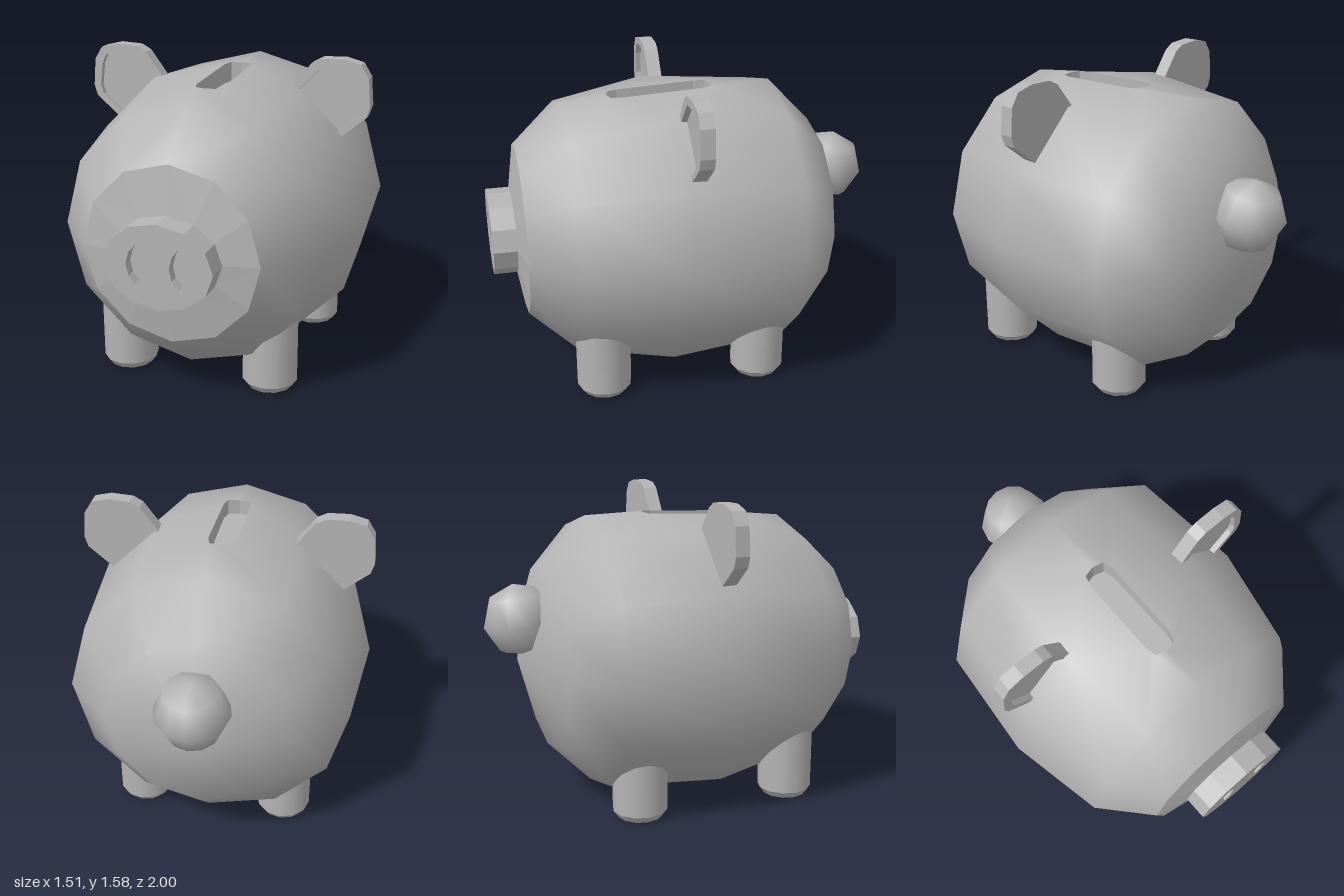
import * as THREE from 'three';

const CY = 0.77; // height of the body axis
const SIDES = 12;

export function createModel() {
  const pig = new THREE.Group();
  pig.name = 'piggyBank';
  const grey = new THREE.MeshStandardMaterial({ color: 0xb4b4b4 });
  grey.name = 'grey';

  const add = (name, geometry, parent = pig) => {
    const mesh = new THREE.Mesh(geometry, grey);
    mesh.name = name;
    parent.add(mesh);
    return mesh;
  };
  const build = (points, index, flat) => {
    let g = new THREE.BufferGeometry();
    g.setAttribute('position', new THREE.Float32BufferAttribute(points.flat(), 3));
    g.setIndex(index);
    if (flat) g = g.toNonIndexed();
    g.computeVertexNormals();
    return g;
  };
  const ringPoint = (rx, ry, z, j) => {
    const a = (j / SIDES) * Math.PI * 2;
    return [rx * Math.cos(a), CY + ry * Math.sin(a), z];
  };
  const shapeOf = (pts) => new THREE.Shape(pts.map(([x, y]) => new THREE.Vector2(x, y)));
  const extrude = (shape, z0, z1) =>
    new THREE.ExtrudeGeometry(shape, { depth: z1 - z0, bevelEnabled: false }).translate(0, 0, z0);

  // Body: rings [z, radius] along z, with an opening for the slot on top
  const rings = [[0.845, 0.44], [0.61, 0.655], [0.12, 0.755], [-0.47, 0.705], [-0.697, 0.47]];
  const at = (i, j) => i * SIDES + (j % SIDES);
  const points = [], index = [];
  rings.forEach(([z, r]) => {
    for (let j = 0; j < SIDES; j++) points.push(ringPoint(r, r, z, j));
  });
  for (let i = 0; i < rings.length - 1; i++) {
    for (let j = 0; j < SIDES; j++) {
      if ((i === 1 || i === 2) && (j === 2 || j === 3)) continue;
      index.push(at(i, j), at(i + 1, j), at(i, j + 1), at(i, j + 1), at(i + 1, j), at(i + 1, j + 1));
    }
  }
  const pole = points.length;
  points.push([0, CY, -0.84]);
  for (let j = 0; j < SIDES; j++) index.push(at(4, j), pole, at(4, j + 1));

  // Slot rim, stitched to the surrounding body vertices
  const half = [[0, 0.375], [0.055, 0.362], [0.07, 0.31], [0.07, -0.09], [0.055, -0.147], [0, -0.16]];
  const outline = [...half, ...half.slice(1, -1).reverse().map(([x, z]) => [-x, z])];
  const rim = outline.map(([x, z]) => [x, 1.4675 - 0.047 * z, z]);
  const outer = [at(1, 3), at(1, 2), at(2, 2), at(2, 2), at(3, 2), at(3, 3), at(3, 4), at(2, 4), at(2, 4), at(1, 4)];
  const first = points.length;
  points.push(...rim);
  const n = rim.length;
  for (let k = 0; k < n; k++) {
    const m = (k + 1) % n;
    if (outer[k] !== outer[m]) index.push(outer[k], outer[m], first + k);
    index.push(outer[m], first + m, first + k);
  }
  add('body', build(points, index));

  // Slot walls and floor
  const slotPoints = [...rim, ...rim.map(([x, , z]) => [x, 1.37, z])];
  const slotIndex = [];
  for (let k = 0; k < n; k++) {
    const m = (k + 1) % n;
    slotIndex.push(k, m, n + m, k, n + m, n + k);
    if (k > 0 && k < n - 1) slotIndex.push(n, n + k, n + k + 1);
  }
  add('coinSlot', build(slotPoints, slotIndex, true));

  // Faceted muzzle between body and snout
  const muzzle = [], muzzleIndex = [];
  for (let j = 0; j < SIDES; j++) {
    muzzle.push(ringPoint(0.44, 0.44, 0.845, j), ringPoint(0.27, 0.208, 0.882, j));
    const a = j * 2, b = ((j + 1) % SIDES) * 2;
    muzzleIndex.push(a, b, a + 1, b, b + 1, a + 1);
  }
  add('muzzle', build(muzzle, muzzleIndex, true));

  // Snout with two recessed almond nostrils
  const snout = shapeOf(Array.from({ length: SIDES }, (_, j) => ringPoint(0.27, 0.208, 0, j)));
  for (const s of [-1, 1]) {
    const hole = new THREE.Path();
    hole.moveTo(s * 0.102, 0.866);
    for (const [x, y] of [[0.075, 0.83], [0.06, 0.77], [0.072, 0.715], [0.108, 0.677],
      [0.138, 0.715], [0.152, 0.77], [0.135, 0.83]]) hole.lineTo(s * x, y);
    hole.closePath();
    snout.holes.push(hole);
  }
  add('snout', extrude(snout, 0.87, 1));
  const nostrilFloor = add('nostrilFloor', new THREE.PlaneGeometry(0.36, 0.24));
  nostrilFloor.position.set(0, CY, 0.95);

  // Ears: flat plate with a raised rim on the front
  const edge = [[0.59, 1.18], [0.725, 1.295], [0.742, 1.35], [0.73, 1.49], [0.69, 1.555],
    [0.604, 1.577], [0.49, 1.572], [0.44, 1.545], [0.34, 1.41]];
  const inner = [[0.565, 1.195], [0.688, 1.307], [0.704, 1.35], [0.69, 1.466], [0.667, 1.516],
    [0.612, 1.537], [0.503, 1.533], [0.474, 1.51], [0.365, 1.39]];
  const mirror = (pts, s) => pts.map(([x, y]) => [s * x, y]);
  for (const s of [1, -1]) {
    const ear = new THREE.Group();
    ear.name = s > 0 ? 'leftEar' : 'rightEar';
    add('earPlate', extrude(shapeOf(mirror(edge, s)), 0.013, 0.055), ear);
    add('earRim', extrude(shapeOf(mirror([...edge, ...[...inner].reverse()], s)), 0.055, 0.085), ear);
    pig.add(ear);
  }

  // Legs with chamfered feet
  for (const [end, z] of [['front', 0.492], ['rear', -0.328]]) {
    for (const s of [1, -1]) {
      const leg = new THREE.Group();
      leg.name = end + (s > 0 ? 'LeftLeg' : 'RightLeg');
      add('legShaft', new THREE.CylinderGeometry(0.14, 0.14, 0.41, SIDES, 1, true).translate(0, 0.24, 0), leg);
      add('foot', new THREE.CylinderGeometry(0.14, 0.115, 0.035, SIDES).translate(0, 0.0175, 0), leg);
      leg.position.set(s * 0.38, 0, z);
      pig.add(leg);
    }
  }

  // Round tail
  const tail = add('tail', new THREE.SphereGeometry(0.185, SIDES, 4));
  tail.position.set(0, 0.973, -0.818);
  tail.rotation.x = -0.17;

  return pig;
}
